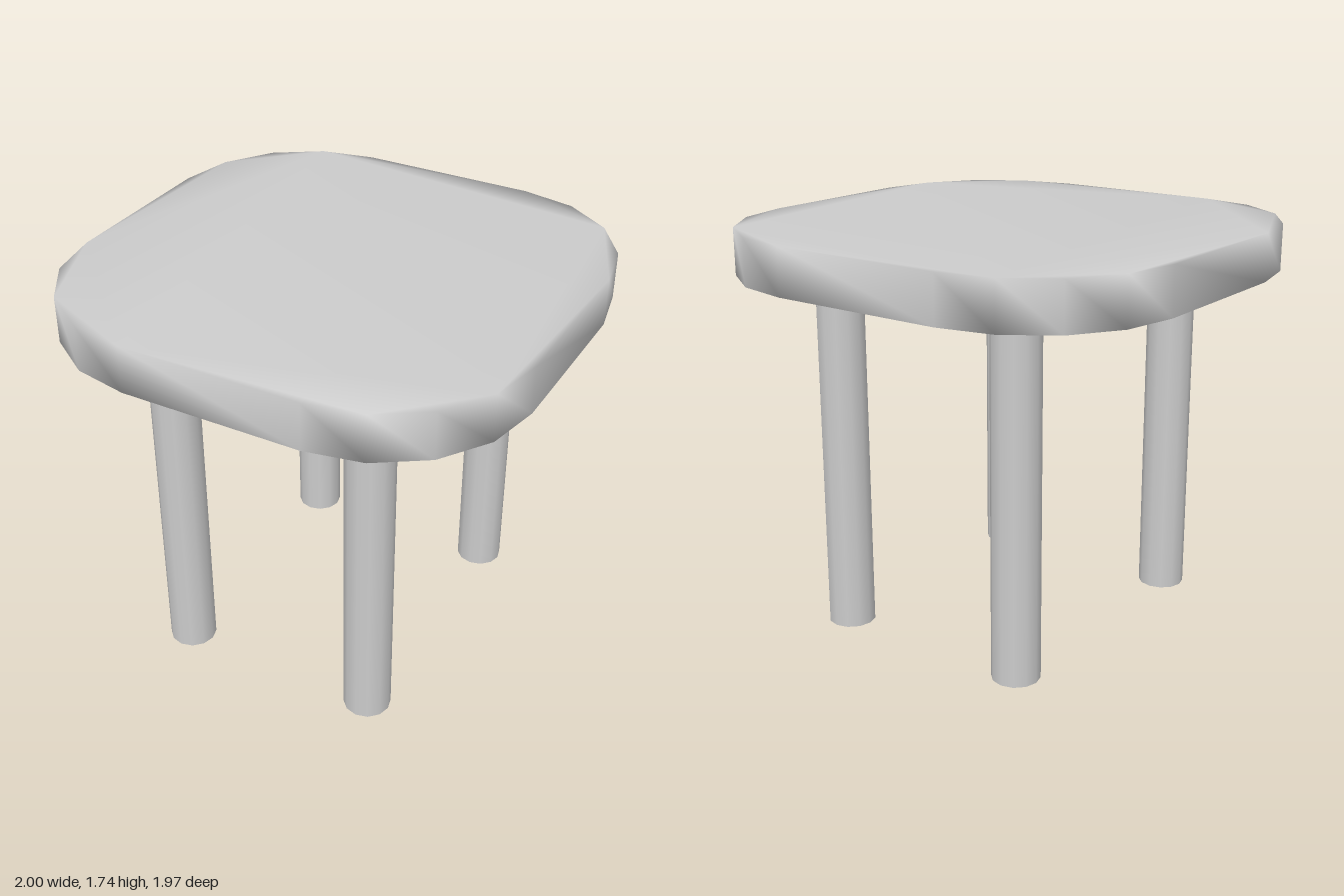
import * as THREE from 'three';
import { mergeVertices } from 'three/addons/utils/BufferGeometryUtils.js';

const TOP = 1.74, UNDERSIDE = 1.54;
const HALF_X = 1, HALF_Z = 0.985, CORNER = 0.615;

// Slab with rounded corners; corners are welded so the shading rolls over the rim
function slabGeometry() {
  const points = [];
  const cx = HALF_X - CORNER, cz = HALF_Z - CORNER;
  [[1, 1], [-1, 1], [-1, -1], [1, -1]].forEach(([sx, sz], quarter) => {
    for (let i = 0; i <= 4; i++) {
      const a = (quarter + i / 4) * Math.PI / 2;
      points.push(new THREE.Vector2(sx * cx + CORNER * Math.cos(a), sz * cz + CORNER * Math.sin(a)));
    }
  });
  const slab = new THREE.ExtrudeGeometry(new THREE.Shape(points), {
    depth: TOP - UNDERSIDE, bevelEnabled: false,
  });
  slab.rotateX(-Math.PI / 2).translate(0, UNDERSIDE, 0);
  slab.deleteAttribute('normal');
  slab.deleteAttribute('uv');
  const welded = mergeVertices(slab, 1e-4);
  welded.computeVertexNormals();
  return welded;
}

export function createModel() {
  const group = new THREE.Group();
  const material = new THREE.MeshStandardMaterial({ color: 0xcccccc });
  const openMaterial = new THREE.MeshStandardMaterial({ color: 0xcccccc, side: THREE.DoubleSide });

  const seat = new THREE.Mesh(slabGeometry(), material);
  seat.name = 'seat';
  group.add(seat);

  // Four hollow legs, open at the foot
  const legGeometry = new THREE.CylinderGeometry(0.102, 0.102, UNDERSIDE, 12, 1, true);
  for (const [z, end] of [[0.58, 'front'], [-0.58, 'back']]) {
    for (const [x, side] of [[0.45, 'Left'], [-0.45, 'Right']]) {
      const leg = new THREE.Mesh(legGeometry, openMaterial);
      leg.name = `${end}${side}Leg`;
      leg.position.set(x, UNDERSIDE / 2, z);
      group.add(leg);
    }
  }
  return group;
}
